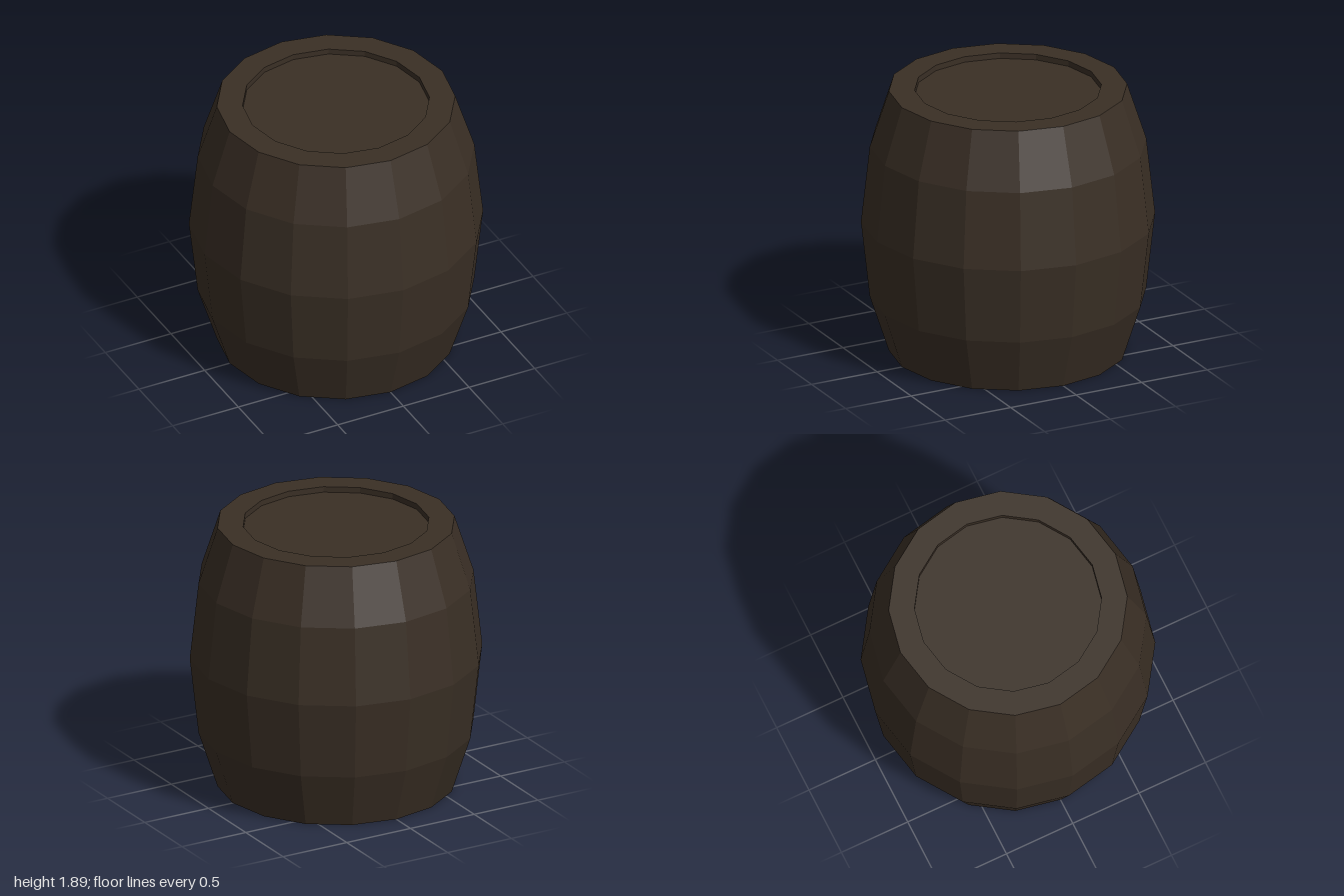
import * as THREE from 'three';

const SIDES = 16;
const HEIGHT = 1.89;
const HEAD_RADIUS = 0.635;
const RECESS = 0.04;

// Faceted surface of revolution; the profile runs so that its outside lies to the right
function turned(name, profile, material) {
  const points = profile.map(([r, y]) => new THREE.Vector2(r, y));
  const geometry = new THREE.LatheGeometry(points, SIDES).toNonIndexed();
  geometry.computeVertexNormals();
  const mesh = new THREE.Mesh(geometry, material);
  mesh.name = name;
  return mesh;
}

// Flat disc closing one end, facing up (1) or down (-1)
function head(name, y, facing, material) {
  const geometry = new THREE.CircleGeometry(HEAD_RADIUS, SIDES);
  geometry.rotateX(-facing * Math.PI / 2);
  const mesh = new THREE.Mesh(geometry, material);
  mesh.position.y = y;
  mesh.name = name;
  return mesh;
}

export function createModel() {
  const model = new THREE.Group();
  model.name = 'barrel';
  const wood = new THREE.MeshStandardMaterial({ color: 0x3a2f25 });
  wood.name = 'dark wood';

  // Bulging side wall
  model.add(turned('staves', [
    [0.81, 0], [0.94, 0.4], [1, HEIGHT / 2], [0.94, HEIGHT - 0.4], [0.81, HEIGHT],
  ], wood));

  // Rims with a shallow step down to the recessed heads
  model.add(turned('topRim', [
    [0.81, HEIGHT], [HEAD_RADIUS, HEIGHT], [HEAD_RADIUS, HEIGHT - RECESS],
  ], wood));
  model.add(turned('bottomRim', [
    [HEAD_RADIUS, RECESS], [HEAD_RADIUS, 0], [0.81, 0],
  ], wood));

  // Recessed end discs
  model.add(head('topHead', HEIGHT - RECESS, 1, wood));
  model.add(head('bottomHead', RECESS, -1, wood));

  return model;
}
